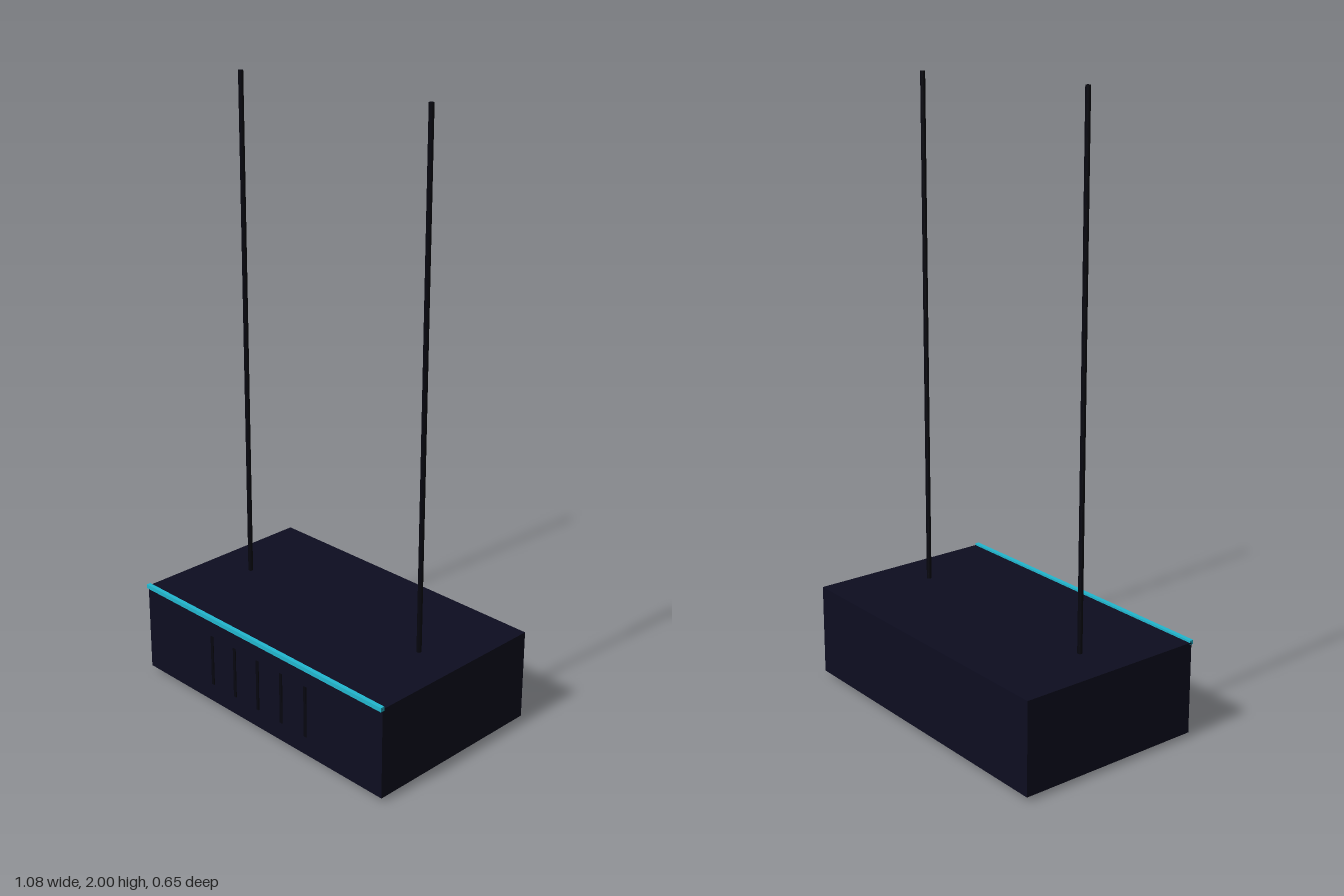
import * as THREE from 'three';

export function createModel() {
  const model = new THREE.Group();
  const mat = (name, color) => {
    const m = new THREE.MeshStandardMaterial({ color });
    m.name = name;
    return m;
  };
  const navy = mat('dark navy', 0x0d0d20);
  const black = mat('near black', 0x06060f);
  const cyan = mat('cyan', 0x22b8cf);
  const white = mat('panel white', 0xeeeeee);

  const add = (name, geometry, material, x, y, z) => {
    const mesh = new THREE.Mesh(geometry, material);
    mesh.name = name;
    mesh.position.set(x, y, z);
    model.add(mesh);
  };
  const box = (name, material, w, h, d, x, y, z) =>
    add(name, new THREE.BoxGeometry(w, h, d), material, x, y, z);

  // Hanging housing and the light panel under it
  box('housing', navy, 1.08, 0.303, 0.647, 0, 0.1665, -0.0035);
  box('lightPanel', white, 0.95, 0.018, 0.515, 0, 0.009, -0.0035);

  // Bright strip along the top front edge
  box('edgeStrip', cyan, 1.08, 0.014, 0.014, 0, 0.318, 0.32);

  // Five thin vertical vents on the front
  for (let i = -2; i <= 2; i++) {
    box('frontVent', black, 0.011, 0.175, 0.005, i * 0.108, 0.167, 0.3205);
  }

  // Two suspension rods
  for (const side of [-1, 1]) {
    add('suspensionRod', new THREE.CylinderGeometry(0.008, 0.008, 1.684, 8), black, side * 0.388, 1.158, 0);
  }
  return model;
}
